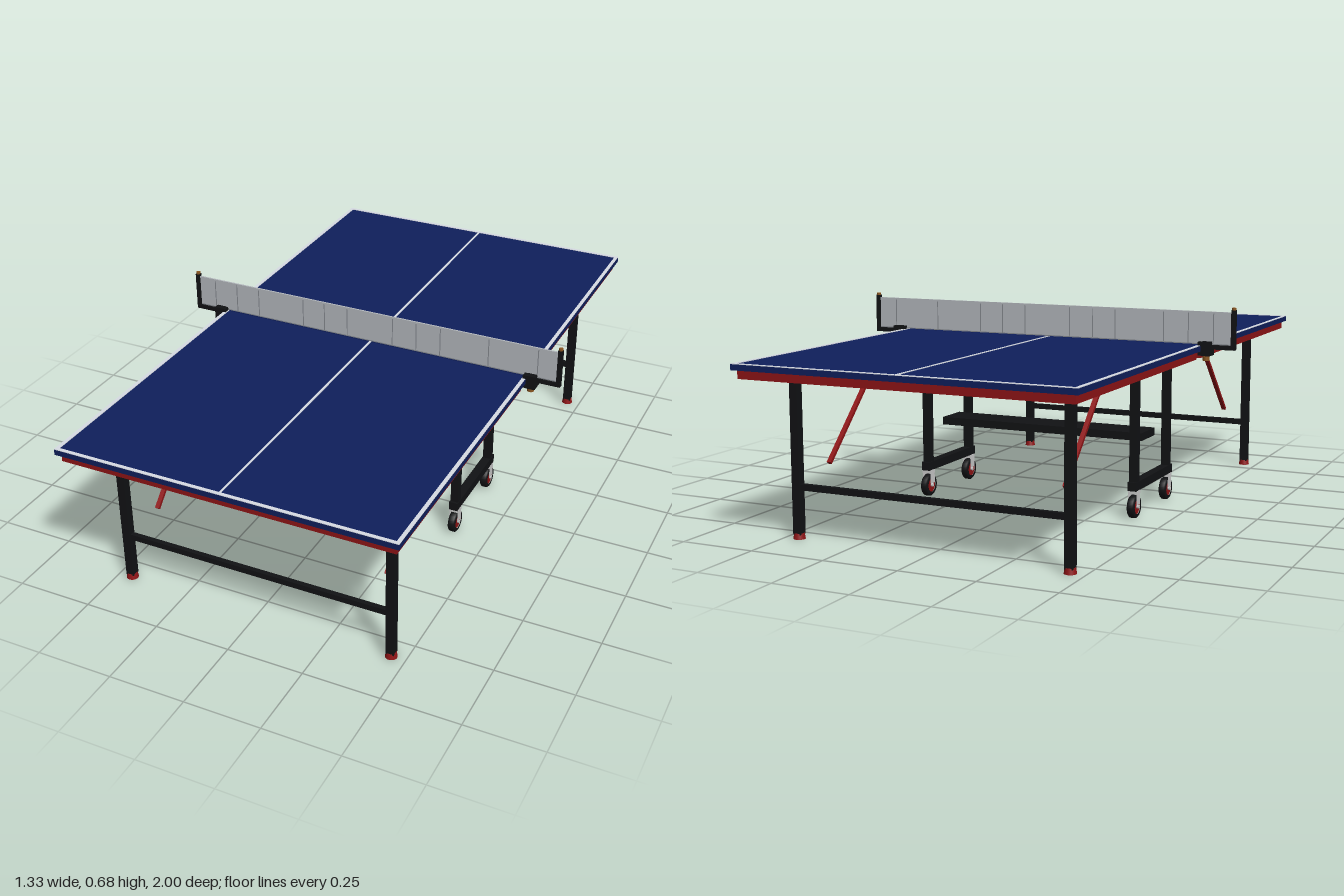
import * as THREE from 'three';

const mat = (color, side = THREE.FrontSide) => {
  const m = new THREE.MeshStandardMaterial({ side });
  m.color.set(color);
  return m;
};

export function createModel() {
  const root = new THREE.Group();
  const black = mat(0x111214), navy = mat(0x0f1f5c), red = mat(0x8f1416), white = mat(0xd8dce4);
  const grey = mat(0xcccccc), orange = mat(0x8a5520), netGrey = mat(0xb4b8bd, THREE.DoubleSide), cord = mat(0x85898f);

  const add = (name, geo, material, x, y, z, parent = root) => {
    const m = new THREE.Mesh(geo, material);
    m.name = name;
    m.position.set(x, y, z);
    parent.add(m);
    return m;
  };
  const box = (name, material, w, h, d, x, y, z, parent) =>
    add(name, new THREE.BoxGeometry(w, h, d), material, x, y, z, parent);
  const cyl = (name, material, r1, r2, h, x, y, z, parent) =>
    add(name, new THREE.CylinderGeometry(r1, r2, h, 24), material, x, y, z, parent);

  // Two playing halves with painted lines, apron rails and end legs
  for (const s of [1, -1]) {
    const half = new THREE.Group();
    half.name = s > 0 ? 'frontHalf' : 'backHalf';
    root.add(half);
    box('tableTop', navy, 1.106, 0.018, 0.998, 0, 0.546, s * 0.501, half);
    box('endLine', white, 1.106, 0.002, 0.012, 0, 0.556, s * 0.994, half);
    box('centreLine', white, 0.007, 0.002, 0.987, 0, 0.556, s * 0.4945, half);
    box('endApron', red, 1.08, 0.028, 0.016, 0, 0.524, s * 0.977, half);
    box('legCrossbar', black, 0.89, 0.019, 0.016, 0, 0.163, s * 0.82, half);
    for (const x of [1, -1]) {
      box('sideLine', white, 0.012, 0.002, 0.987, x * 0.547, 0.556, s * 0.4945, half);
      box('sideApron', red, 0.016, 0.028, 0.965, x * 0.532, 0.524, s * 0.5025, half);
      box('endLeg', black, 0.027, 0.523, 0.027, x * 0.453, 0.2755, s * 0.82, half);
      cyl('foot', red, 0.016, 0.019, 0.018, x * 0.453, 0.009, s * 0.82, half);
      // Folding brace slanting down and outward
      const brace = box('brace', red, 0.014, 0.43, 0.01, x * 0.397, 0.376, s * 0.58, half);
      brace.rotation.x = -s * Math.PI / 4;
    }
  }

  // Wheeled centre carriage
  const tyreProfile = [[0.024, -0.012], [0.034, -0.012], [0.038, -0.008], [0.038, 0.008], [0.034, 0.012], [0.024, 0.012]]
    .map(([r, y]) => new THREE.Vector2(r, y));
  const tyreGeo = new THREE.LatheGeometry(tyreProfile, 28).rotateZ(Math.PI / 2);
  const hubGeo = new THREE.CylinderGeometry(0.0245, 0.0245, 0.02, 24).rotateZ(Math.PI / 2);
  const axleGeo = new THREE.CylinderGeometry(0.006, 0.006, 0.034, 12).rotateZ(Math.PI / 2);
  for (const x of [1, -1]) {
    const side = new THREE.Group();
    side.name = x > 0 ? 'leftCarriage' : 'rightCarriage';
    side.position.x = x * 0.38;
    root.add(side);
    box('carriageRail', black, 0.03, 0.029, 0.336, 0, 0.106, 0, side);
    for (const z of [0.147, -0.147]) {
      box('carriageLeg', black, 0.026, 0.43, 0.026, 0, 0.324, z, side);
      add('tyre', tyreGeo, black, 0, 0.038, z, side);
      add('hub', hubGeo, red, 0, 0.038, z, side);
      add('axle', axleGeo, grey, 0, 0.038, z, side);
      box('forkBridge', grey, 0.032, 0.012, 0.03, 0, 0.086, z, side);
      for (const f of [1, -1])
        box('forkPlate', grey, 0.003, 0.042, 0.026, f * 0.0145, 0.066, z, side);
    }
  }
  box('centreBeam', black, 0.74, 0.026, 0.118, 0, 0.249, 0);

  // Net with hems and vertical cords
  box('net', netGrey, 1.306, 0.1, 0.003, 0, 0.612, 0);
  box('netTopHem', netGrey, 1.306, 0.006, 0.006, 0, 0.662, 0);
  box('netBottomHem', cord, 1.306, 0.003, 0.005, 0, 0.56, 0);
  for (const x of [-0.59, -0.505, -0.42, -0.25, -0.17, -0.085, 0.08, 0.165, 0.25, 0.418, 0.585])
    box('netCord', cord, 0.003, 0.099, 0.005, x, 0.612, 0);

  // Net posts, arms and table clamps
  for (const x of [1, -1]) {
    const post = new THREE.Group();
    post.name = x > 0 ? 'leftNetPost' : 'rightNetPost';
    root.add(post);
    box('post', black, 0.015, 0.128, 0.013, x * 0.657, 0.609, 0, post);
    cyl('postCap', orange, 0.007, 0.007, 0.008, x * 0.657, 0.676, 0, post);
    box('postArm', black, 0.1, 0.014, 0.016, x * 0.613, 0.551, 0, post);
    box('clampBody', black, 0.03, 0.046, 0.044, x * 0.57, 0.546, 0, post);
    box('clampUpperJaw', black, 0.042, 0.012, 0.044, x * 0.565, 0.562, 0, post);
    box('clampLowerJaw', black, 0.042, 0.01, 0.044, x * 0.565, 0.529, 0, post);
    cyl('clampKnob', orange, 0.011, 0.011, 0.018, x * 0.566, 0.515, 0, post);
  }
  return root;
}
